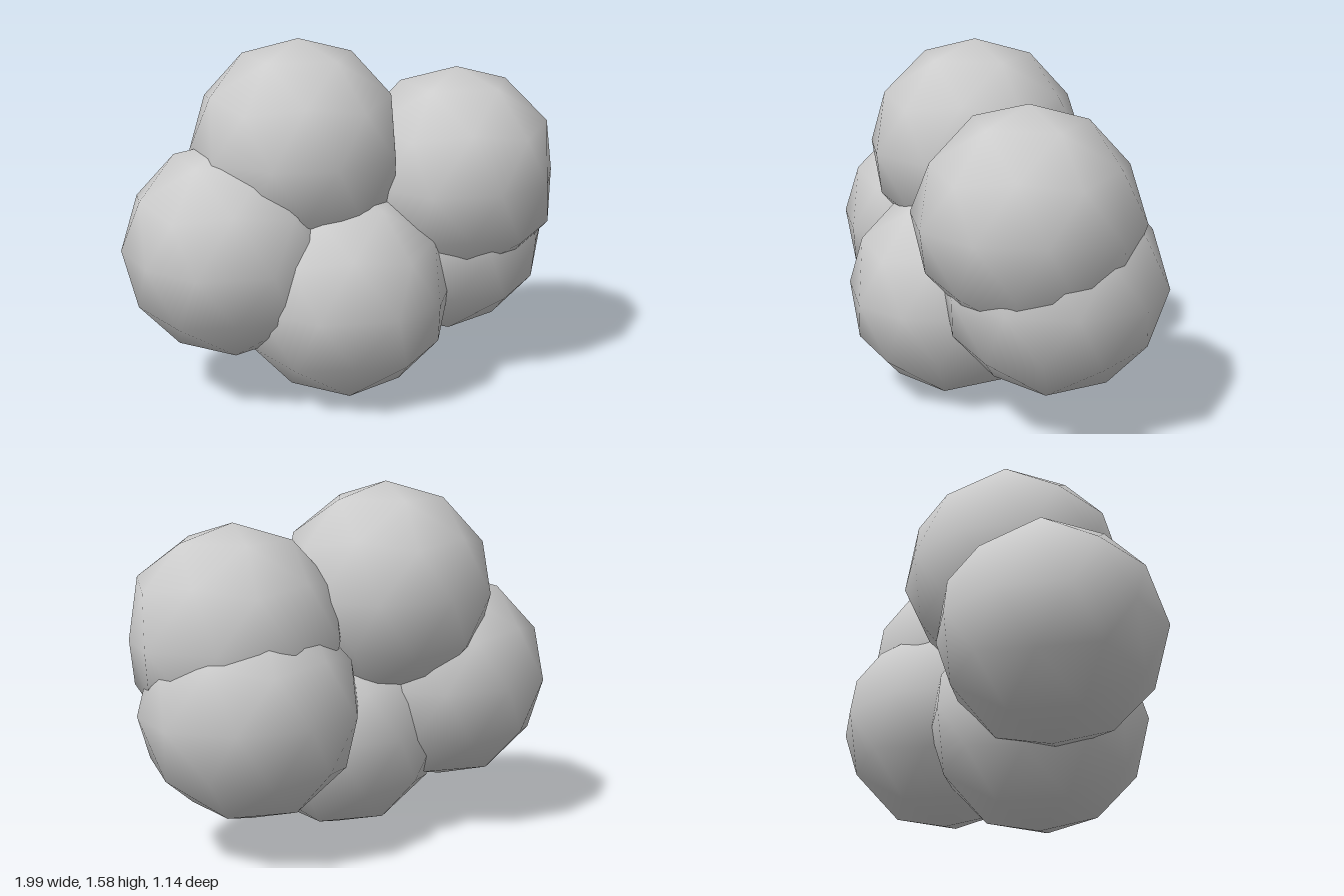
import * as THREE from 'three';

const R = 0.48;

// Each puff: name, centre, and small sideways nudges [azimuth in degrees, dx]
// for vertices on the equator (0 = +x, 90 = back).
const PUFFS = [
  ['rightPuff', [-0.535, 0.68, -0.09], [[198, 0.02], [234, -0.015], [270, 0.015]]],
  ['topPuff', [-0.21, 1.1, -0.09], [[-18, -0.06], [54, 0.04], [270, -0.02]]],
  ['frontPuff', [-0.08, 0.48, 0.09], [[270, 0.04]]],
  ['leftUpperPuff', [0.5, 0.945, 0.035], [[18, 0.045], [54, 0.025], [-18, -0.035], [-54, -0.03], [270, -0.03], [234, -0.035]]],
  ['leftLowerPuff', [0.5, 0.645, -0.09], [[18, 0.035], [54, 0.02]]],
];

// Low-poly ball with one corner pointing straight up and smooth normals
function puffGeometry(nudges) {
  const geometry = new THREE.IcosahedronGeometry(R, 1);
  geometry.rotateZ(-Math.atan(2 / (1 + Math.sqrt(5))));
  // Radial normals give the smooth shading
  const p = geometry.attributes.position;
  const n = geometry.attributes.normal;
  const v = new THREE.Vector3();
  for (let i = 0; i < p.count; i++) {
    v.fromBufferAttribute(p, i);
    const d = v.clone().normalize();
    n.setXYZ(i, d.x, d.y, d.z);
    for (const [deg, dx] of nudges) {
      const a = THREE.MathUtils.degToRad(deg);
      const gap = Math.hypot(v.x - R * Math.cos(a), v.y, v.z + R * Math.sin(a));
      if (gap < 0.02) p.setX(i, v.x + dx);
    }
  }
  return geometry;
}

export function createModel() {
  const cluster = new THREE.Group();
  cluster.name = 'puffCluster';
  const material = new THREE.MeshStandardMaterial({ color: 0xcccccc });
  for (const [name, centre, nudges] of PUFFS) {
    const puff = new THREE.Mesh(puffGeometry(nudges), material);
    puff.name = name;
    puff.position.set(...centre);
    cluster.add(puff);
  }
  return cluster;
}
